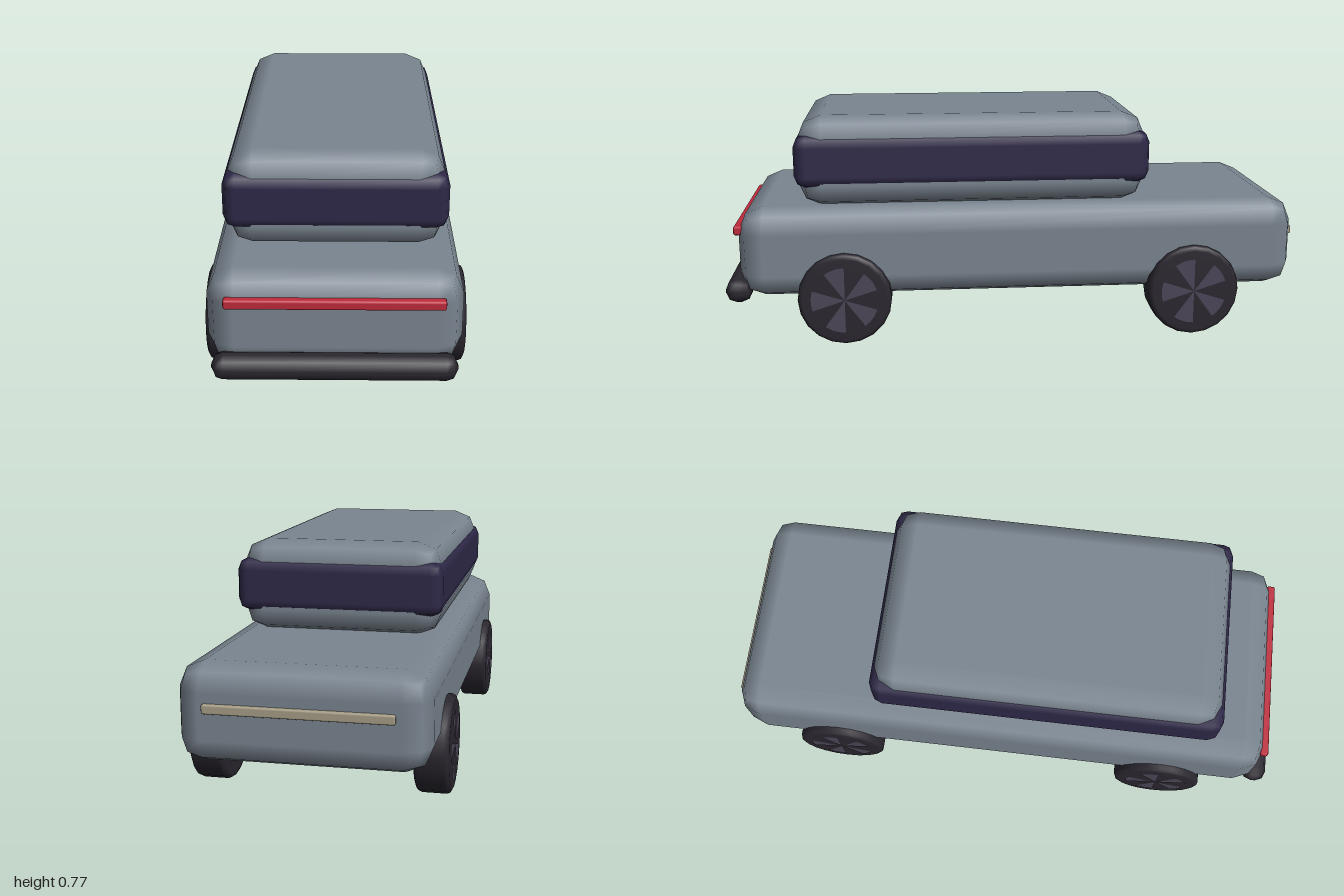
import * as THREE from 'three';
import { RoundedBoxGeometry } from 'three/addons/geometries/RoundedBoxGeometry.js';

const mat = (color) => new THREE.MeshStandardMaterial({ color });
const paint = mat(0x7a8590);
const glass = mat(0x2f2949);
const rubber = mat(0x2a272f);
const alloy = mat(0x4b4658);
const red = mat(0xc02a3c);
const cream = mat(0xa89f88);

// Box with bevelled edges, given by its limits on each axis
function bevelBox(name, [x0, x1], [y0, y1], [z0, z1], radius, material) {
  const geo = new RoundedBoxGeometry(x1 - x0, y1 - y0, z1 - z0, 1, radius);
  const mesh = new THREE.Mesh(geo, material);
  mesh.position.set((x0 + x1) / 2, (y0 + y1) / 2, (z0 + z1) / 2);
  mesh.name = name;
  return mesh;
}

// Wheel with its axle on local x and its outer face toward +x
function makeWheel(name) {
  const wheel = new THREE.Group();
  wheel.name = name;
  const R = 0.16, half = 0.056, bevel = 0.016;
  const profile = [
    [0, -half], [R - bevel, -half], [R - 0.004, -half + 0.006], [R, -half + bevel],
    [R, half - bevel], [R - 0.004, half - 0.006], [R - bevel, half], [0, half],
  ].map(([r, h]) => new THREE.Vector2(r, h));
  const tyre = new THREE.Mesh(new THREE.LatheGeometry(profile, 20), rubber);
  tyre.name = 'tyre';
  tyre.rotation.z = -Math.PI / 2;
  wheel.add(tyre);

  // Light wedges alternating with the dark disc
  const count = 5, step = (2 * Math.PI) / count;
  for (let i = 0; i < count; i++) {
    const wedge = new THREE.Mesh(
      new THREE.CircleGeometry(0.115, 3, Math.PI / 2 + i * step, step / 2), alloy);
    wedge.name = 'rimWedge';
    wedge.rotation.y = Math.PI / 2;
    wedge.position.x = half + 0.002;
    wheel.add(wedge);
  }
  return wheel;
}

export function createModel() {
  const car = new THREE.Group();
  car.name = 'car';

  // Lower body, cabin and the window band wrapped around it
  car.add(bevelBox('body', [-0.392, 0.392], [0.155, 0.47], [-0.985, 0.95], 0.085, paint));
  car.add(bevelBox('cabin', [-0.342, 0.342], [0.46, 0.775], [-0.46, 0.745], 0.083, paint));
  car.add(bevelBox('windowBand', [-0.351, 0.351], [0.533, 0.714], [-0.469, 0.754], 0.04, glass));

  // Bumper and light strips
  car.add(bevelBox('frontBumper', [-0.375, 0.375], [0.14, 0.22], [0.91, 1.0], 0.037, rubber));
  car.add(bevelBox('frontLightBar', [-0.333, 0.333], [0.375, 0.406], [0.935, 0.965], 0.007, red));
  car.add(bevelBox('rearLightBar', [-0.292, 0.292], [0.326, 0.356], [-1.0, -0.97], 0.006, cream));

  // Four wheels
  for (const side of [1, -1]) {
    for (const [end, z] of [['front', 0.59], ['rear', -0.62]]) {
      const wheel = makeWheel(end + (side > 0 ? 'Left' : 'Right') + 'Wheel');
      wheel.position.set(side * 0.364, 0.162, z);
      if (side < 0) wheel.rotation.y = Math.PI;
      car.add(wheel);
    }
  }
  return car;
}
